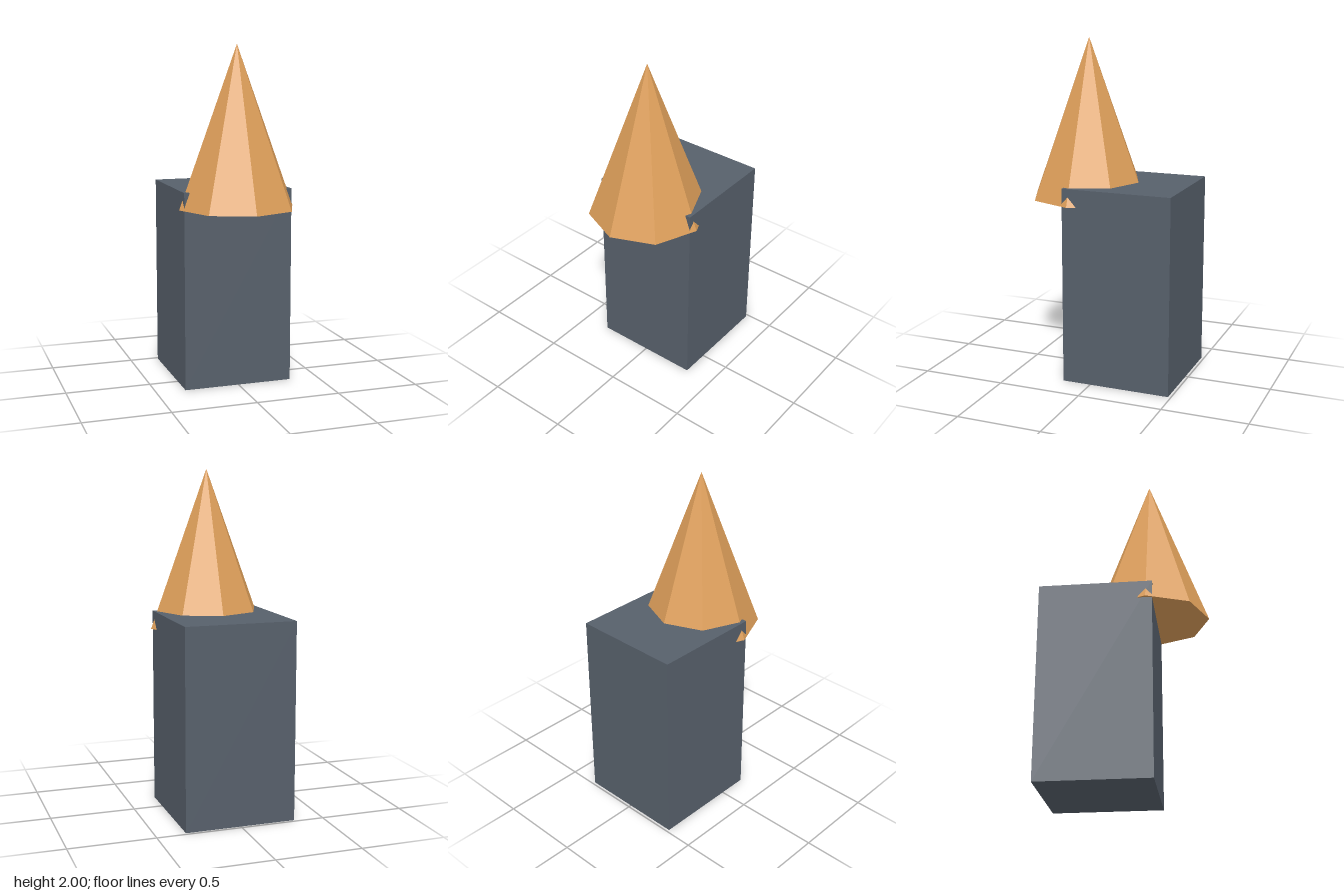
import * as THREE from 'three';

export function createModel() {
  const model = new THREE.Group();
  const slate = new THREE.MeshStandardMaterial({ color: 0x57606b });
  slate.name = 'slate grey';
  const amber = new THREE.MeshStandardMaterial({ color: 0xde9f5a, flatShading: true });
  amber.name = 'amber';

  const add = (name, geometry, material, y, z) => {
    const mesh = new THREE.Mesh(geometry, material);
    mesh.name = name;
    mesh.position.set(0, y, z);
    model.add(mesh);
  };

  // Tall block standing on the ground
  const blockHeight = 1.164;
  add('block', new THREE.BoxGeometry(0.654, blockHeight, 0.654), slate, blockHeight / 2, -0.156);

  // Eight-sided spire, overhanging the front of the block
  const spireBase = 1.06;
  const spireHeight = 2 - spireBase;
  add('spire', new THREE.ConeGeometry(0.348, spireHeight, 8), amber, spireBase + spireHeight / 2, 0.134);

  return model;
}
